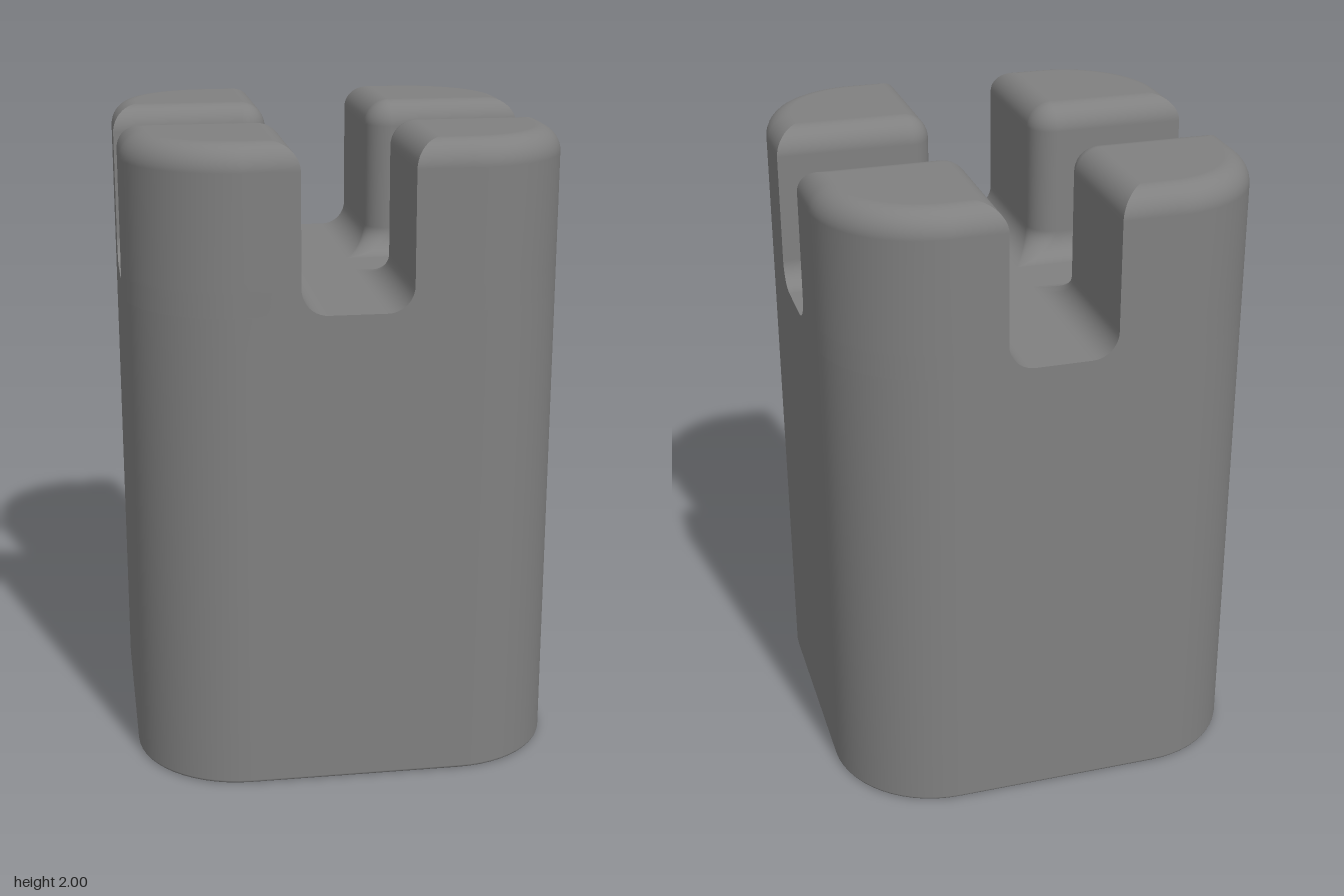
import * as THREE from 'three';

const HALF = 0.667, CORNER = 0.335;         // footprint and its corner radius
const SLOT = 0.167, FLOOR = 1.5, TOP = 2;   // cross slots
const FILLET = 0.08, BEVEL = 0.01;
const STEPS = 10;

// Points [x, z] of an arc, running from +z towards +x
function arc(cx, cz, r, from, to, n = 14) {
  return Array.from({ length: n + 1 }, (_, i) => {
    const a = from + (to - from) * i / n;
    return [cx + r * Math.sin(a), cz + r * Math.cos(a)];
  });
}

// Rounded square outline, drawn in by d
function bodyOutline(d) {
  const c = HALF - CORNER;
  return [0, 1, 2, 3].flatMap((q) => {
    const a = q * Math.PI / 2;
    const sx = q < 2 ? 1 : -1, sz = q === 0 || q === 3 ? 1 : -1;
    return arc(sx * c, sz * c, CORNER - d, a, a + Math.PI / 2);
  });
}

// Outline of one corner post: outer side drawn in by d, slot walls at s,
// inner corner radius r. Sharp end corners are doubled to split the normals.
function postOutline(d, s, r) {
  const h = HALF - d, c = HALF - CORNER, e = Math.max(r, 0.001);
  return [
    [s, h], ...arc(c, c, CORNER - d, 0, Math.PI / 2), [h, s],
    [h, s], ...arc(s + e, s + e, e, Math.PI, Math.PI * 1.5), [s, h],
  ];
}

// Skin a stack of { y, outline } rings, with optional flat ends
function loft(rings, capBottom, capTop) {
  const pos = [], index = [], n = rings[0].outline.length;
  rings.forEach(({ y, outline }) => outline.forEach(([x, z]) => pos.push(x, y, z)));
  for (let k = 0; k + 1 < rings.length; k++) {
    for (let i = 0; i < n; i++) {
      const a = k * n + i, b = k * n + (i + 1) % n;
      index.push(a, b, b + n, a, b + n, a + n);
    }
  }
  const cap = (k, up) => {
    const { y, outline } = rings[k], centre = pos.length / 3;
    const mean = (j) => outline.reduce((t, p) => t + p[j], 0) / n;
    pos.push(mean(0), y, mean(1));
    for (let i = 0; i < n; i++) {
      const a = k * n + i, b = k * n + (i + 1) % n;
      index.push(centre, up ? a : b, up ? b : a);
    }
  };
  if (capBottom) cap(0, false);
  if (capTop) cap(rings.length - 1, true);
  const g = new THREE.BufferGeometry();
  g.setAttribute('position', new THREE.Float32BufferAttribute(pos, 3));
  g.setIndex(index);
  g.computeVertexNormals();
  return g;
}

export function createModel() {
  const group = new THREE.Group();
  const material = new THREE.MeshStandardMaterial({ color: 0x808080 });

  // Solid body up to the slot floor, with a fine bevel at the foot
  const bodyRings = [];
  for (let i = 0; i <= 4; i++) {
    const a = i / 4 * Math.PI / 2;
    bodyRings.push({ y: BEVEL * (1 - Math.cos(a)), outline: bodyOutline(BEVEL * (1 - Math.sin(a))) });
  }
  // The last ring is doubled for a sharp rim
  bodyRings.push({ y: FLOOR, outline: bodyOutline(0) }, { y: FLOOR, outline: bodyOutline(0) });
  const body = new THREE.Mesh(loft(bodyRings, true, true), material);
  body.name = 'body';
  group.add(body);

  // Corner post: cove at the slot floor, straight wall, rounded top
  const postRings = [];
  for (let i = 0; i <= STEPS; i++) {
    const a = i / STEPS * Math.PI / 2, out = FILLET * (1 - Math.sin(a));
    postRings.push({
      y: FLOOR + FILLET * (1 - Math.cos(a)),
      outline: postOutline(0, SLOT - out, FILLET - out),
    });
  }
  for (let i = 0; i <= STEPS; i++) {
    const a = i / STEPS * Math.PI / 2, d = FILLET * (1 - Math.cos(a));
    postRings.push({
      y: TOP - FILLET * (1 - Math.sin(a)),
      outline: postOutline(d, SLOT + d, FILLET - d),
    });
  }
  const postGeometry = loft(postRings, false, true);
  ['frontLeft', 'backLeft', 'backRight', 'frontRight'].forEach((corner, i) => {
    const post = new THREE.Mesh(postGeometry, material);
    post.name = corner + 'Post';
    post.rotation.y = i * Math.PI / 2;
    group.add(post);
  });
  return group;
}
